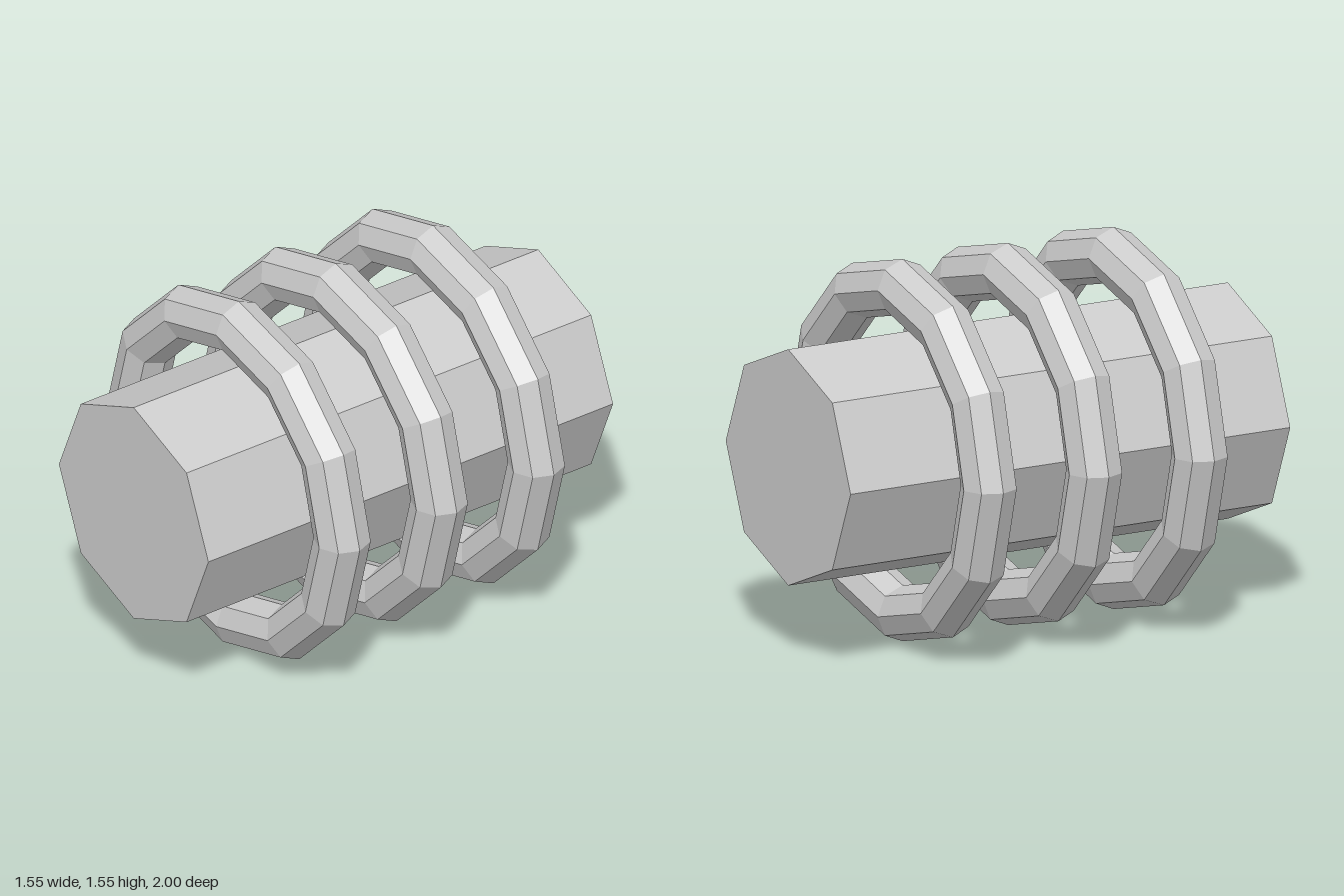
import * as THREE from 'three';

const CENTRE_Y = 0.777;

export function createModel() {
  const model = new THREE.Group();
  model.name = 'ringedShaft';
  const material = new THREE.MeshStandardMaterial({ color: 0xcccccc, flatShading: true });

  // Octagonal shaft lying along z
  const shaftGeometry = new THREE.CylinderGeometry(0.478, 0.478, 2, 8).rotateX(Math.PI / 2);
  const shaft = new THREE.Mesh(shaftGeometry, material);
  shaft.name = 'shaft';
  shaft.position.y = CENTRE_Y;
  model.add(shaft);

  // Three loose twelve-sided rings around the shaft
  const ringGeometry = new THREE.TorusGeometry(0.66, 0.113, 8, 12);
  const rings = { frontRing: 0.48, middleRing: 0, backRing: -0.48 };
  for (const [name, z] of Object.entries(rings)) {
    const ring = new THREE.Mesh(ringGeometry, material);
    ring.name = name;
    ring.position.set(0, CENTRE_Y, z);
    model.add(ring);
  }

  return model;
}
